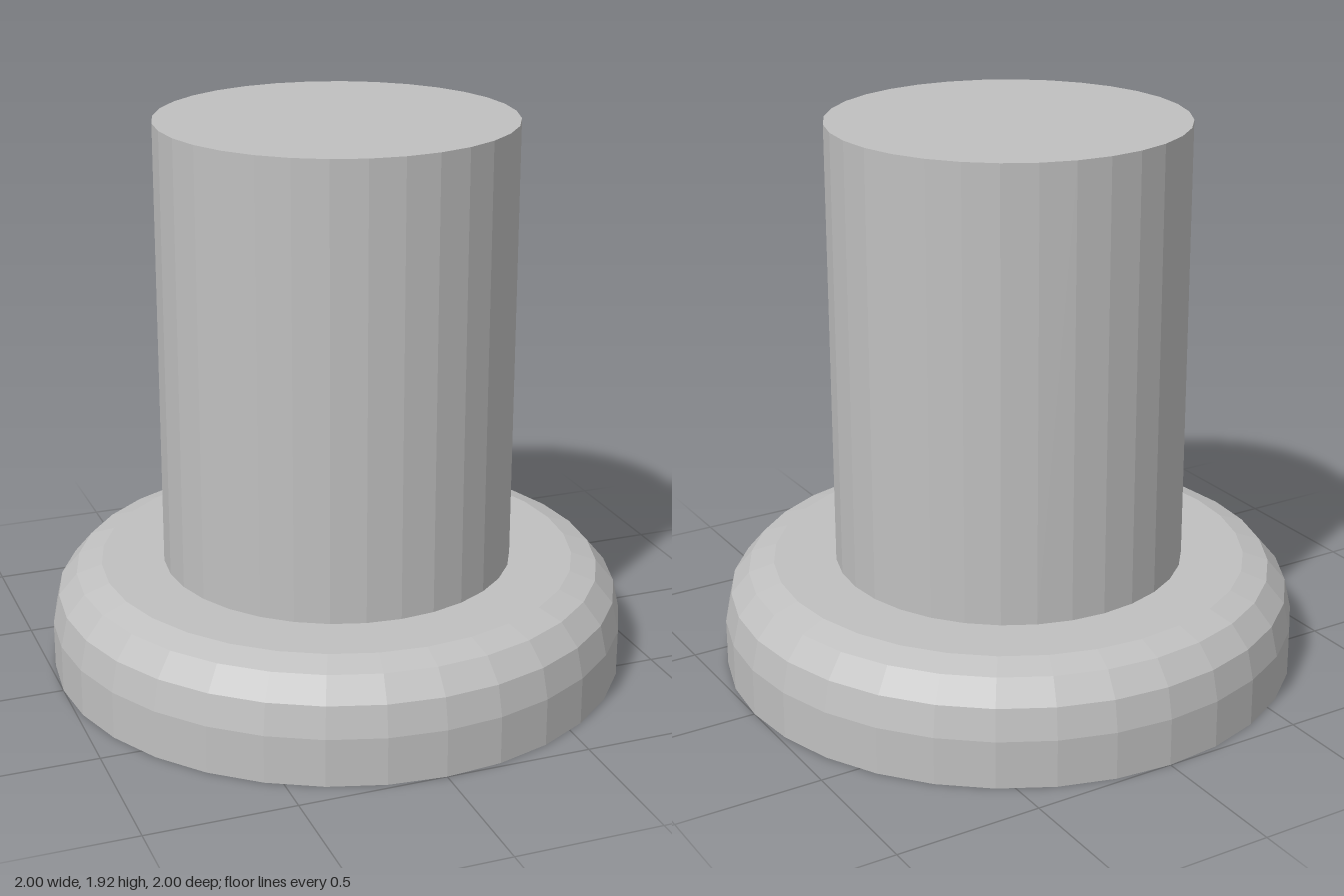
import * as THREE from 'three';

const SIDES = 32;

export function createModel() {
  const group = new THREE.Group();
  const grey = new THREE.MeshStandardMaterial({ color: 0xc0c0c0 });
  grey.name = 'grey';

  // Facets a geometry so each side shades flat
  const addPart = (name, geometry) => {
    const flat = geometry.index ? geometry.toNonIndexed() : geometry;
    flat.computeVertexNormals();
    const mesh = new THREE.Mesh(flat, grey);
    mesh.name = name;
    group.add(mesh);
  };

  // Round flange with a rounded upper edge, profile runs bottom to top
  const profile = [
    [0, 0], [1, 0], [1, 0.165], [0.977, 0.27], [0.913, 0.346], [0.825, 0.375], [0, 0.375],
  ].map(([r, y]) => new THREE.Vector2(r, y));
  addPart('baseFlange', new THREE.LatheGeometry(profile, SIDES));

  // Solid post standing on the flange
  const bottom = 0.375, top = 1.92;
  const post = new THREE.CylinderGeometry(0.608, 0.608, top - bottom, SIDES);
  post.translate(0, (top + bottom) / 2, 0);
  addPart('post', post);

  return group;
}
